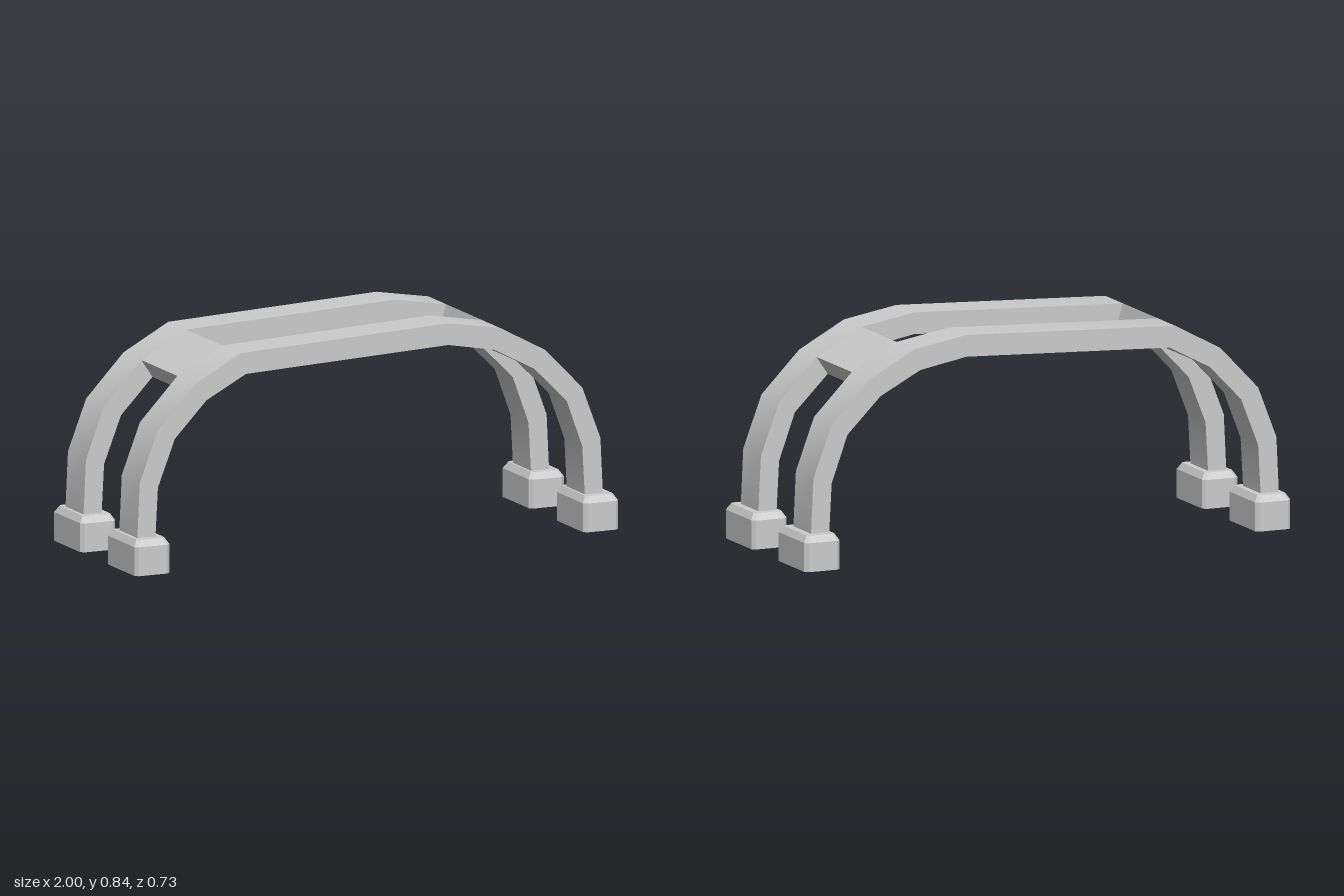
import * as THREE from 'three';
import { toCreasedNormals } from 'three/addons/utils/BufferGeometryUtils.js';

const material = new THREE.MeshStandardMaterial({ color: 0xcccccc });
const shellMaterial = new THREE.MeshStandardMaterial({ color: 0xcccccc, flatShading: true, side: THREE.DoubleSide });

// Arch outline, from the -x foot over to the +x foot
const outer = [[-0.97, 0.135], [-0.96, 0.345], [-0.885, 0.54], [-0.73, 0.703], [-0.545, 0.803], [0.315, 0.84],
  [0.53, 0.803], [0.715, 0.703], [0.87, 0.545], [0.945, 0.345], [0.955, 0.135]];
const inner = [[-0.895, 0.135], [-0.885, 0.32], [-0.815, 0.5], [-0.685, 0.635], [-0.52, 0.722], [0.315, 0.757],
  [0.505, 0.722], [0.67, 0.635], [0.805, 0.5], [0.87, 0.32], [0.88, 0.135]];

const RAIL_IN = 0.157, RAIL_OUT = 0.315;

// Extrudes the arch between two of its stations, from z0 to z1
function archPart(name, from, to, z0, z1) {
  const points = [...inner.slice(from, to + 1), ...outer.slice(from, to + 1).reverse()];
  const shape = new THREE.Shape(points.map(([x, y]) => new THREE.Vector2(x, y)));
  const geometry = new THREE.ExtrudeGeometry(shape, { depth: z1 - z0, bevelEnabled: false });
  geometry.translate(0, 0, z0);
  const mesh = new THREE.Mesh(toCreasedNormals(geometry, 0.6), material);
  mesh.name = name;
  return mesh;
}

// Rectangle with cut corners, counter-clockwise from above
function ring(hx, hz, cut, y) {
  return [[hx, hz - cut], [hx, cut - hz], [hx - cut, -hz], [cut - hx, -hz],
    [-hx, cut - hz], [-hx, hz - cut], [cut - hx, hz], [hx - cut, hz]].map(([x, z]) => [x, y, z]);
}

// Foot cap: hollow, open below, with a sloped shoulder and a flat top
function footGeometry() {
  const rings = [ring(0.0725, 0.1275, 0.013, 0), ring(0.0725, 0.1275, 0.013, 0.11), ring(0.057, 0.112, 0.012, 0.135)];
  const positions = [];
  const add = (...corners) => corners.forEach((c) => positions.push(...c));
  for (let i = 0; i < 8; i++) {
    const j = (i + 1) % 8;
    for (let r = 0; r < 2; r++) {
      const [a, b, c, d] = [rings[r][i], rings[r][j], rings[r + 1][j], rings[r + 1][i]];
      add(a, b, c, a, c, d);
    }
    add(rings[2][i], rings[2][j], [0, 0.135, 0]);
  }
  const geometry = new THREE.BufferGeometry();
  geometry.setAttribute('position', new THREE.Float32BufferAttribute(positions, 3));
  geometry.computeVertexNormals();
  return geometry;
}

export function createModel() {
  const group = new THREE.Group();
  group.name = 'archedFrame';

  // Two arched rails
  group.add(archPart('frontRail', 0, 10, RAIL_IN, RAIL_OUT));
  group.add(archPart('backRail', 0, 10, -RAIL_OUT, -RAIL_IN));

  // Cross plates joining the rails at the shoulders
  group.add(archPart('rightCrossPlate', 3, 4, -RAIL_IN, RAIL_IN));
  group.add(archPart('leftCrossPlate', 6, 7, -RAIL_IN, RAIL_IN));

  // Four feet
  const foot = footGeometry();
  for (const sx of [-1, 1]) {
    for (const sz of [-1, 1]) {
      const mesh = new THREE.Mesh(foot, shellMaterial);
      mesh.name = (sz > 0 ? 'front' : 'back') + (sx > 0 ? 'Left' : 'Right') + 'Foot';
      mesh.position.set(sx * 0.9275, 0, sz * 0.2375);
      group.add(mesh);
    }
  }
  return group;
}
